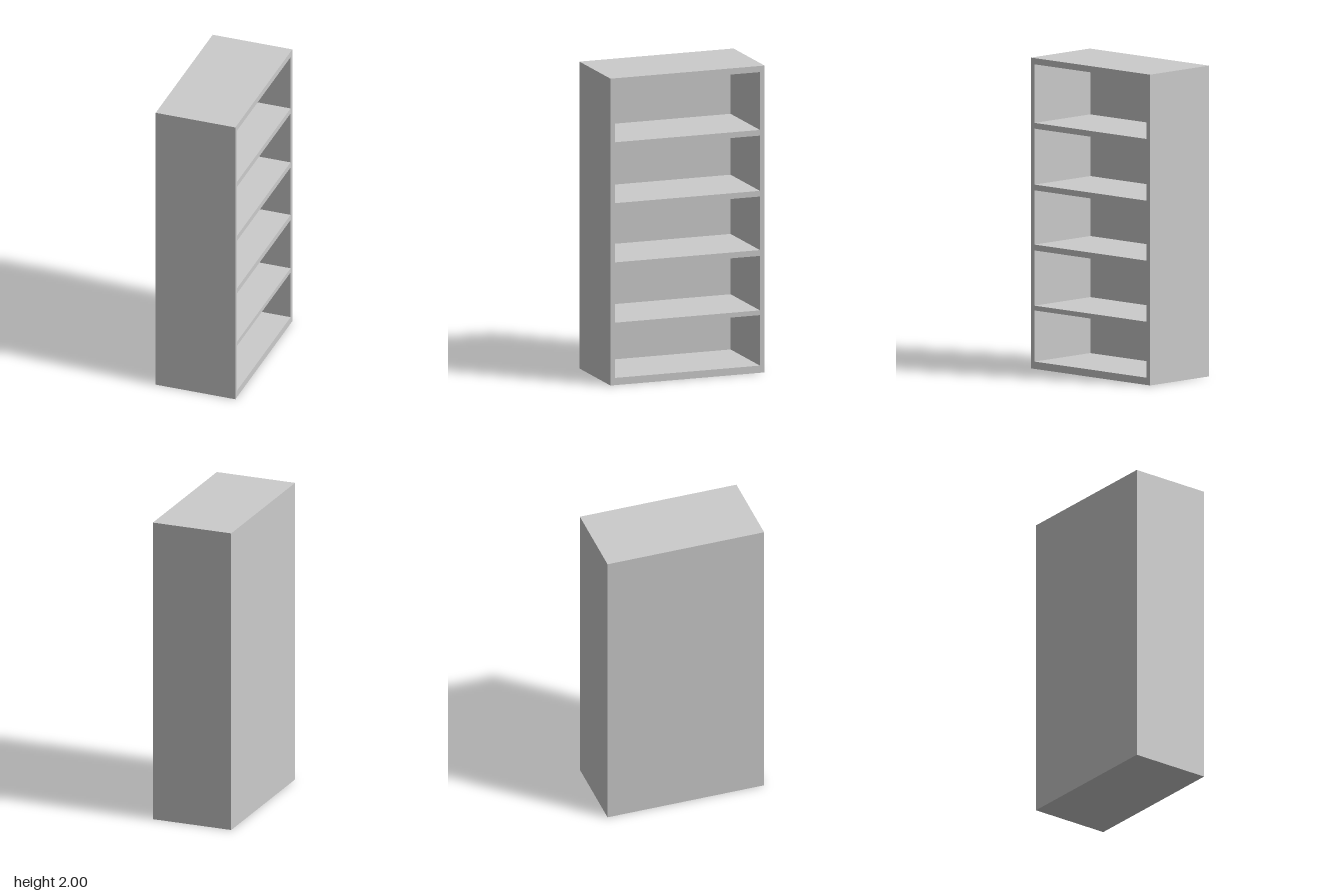
import * as THREE from 'three';

const DEPTH = 0.54, WIDTH = 1.054, HEIGHT = 2; // along x, z, y
const BACK = 0.03;                             // back panel thickness
const INNER = 0.99;                            // clear width between the sides

// Bottom and top height of each open compartment
const COMPARTMENTS = [
  [0.047, 0.376], [0.407, 0.762], [0.8, 1.149], [1.186, 1.546], [1.583, 1.96],
];

// Rectangle centred on local x, between two heights
function rect(target, width, y0, y1) {
  const h = width / 2;
  target.moveTo(-h, y0);
  target.lineTo(h, y0);
  target.lineTo(h, y1);
  target.lineTo(-h, y1);
  target.closePath();
  return target;
}

export function createModel() {
  const group = new THREE.Group();
  group.name = 'bookcase';
  const material = new THREE.MeshStandardMaterial({ color: 0xcccccc });

  // Sides, top, bottom and shelves as one frame, open towards +x
  const outline = rect(new THREE.Shape(), WIDTH, 0, HEIGHT);
  for (const [y0, y1] of COMPARTMENTS) outline.holes.push(rect(new THREE.Path(), INNER, y0, y1));
  const frameGeometry = new THREE.ExtrudeGeometry(outline, { depth: DEPTH - BACK, bevelEnabled: false });
  frameGeometry.rotateY(Math.PI / 2);
  frameGeometry.translate(-DEPTH / 2 + BACK, 0, 0);
  const frame = new THREE.Mesh(frameGeometry, material);
  frame.name = 'shelfFrame';

  // Closed back
  const back = new THREE.Mesh(new THREE.BoxGeometry(BACK, HEIGHT, WIDTH), material);
  back.name = 'backPanel';
  back.position.set(-DEPTH / 2 + BACK / 2, HEIGHT / 2, 0);

  group.add(frame, back);
  return group;
}
